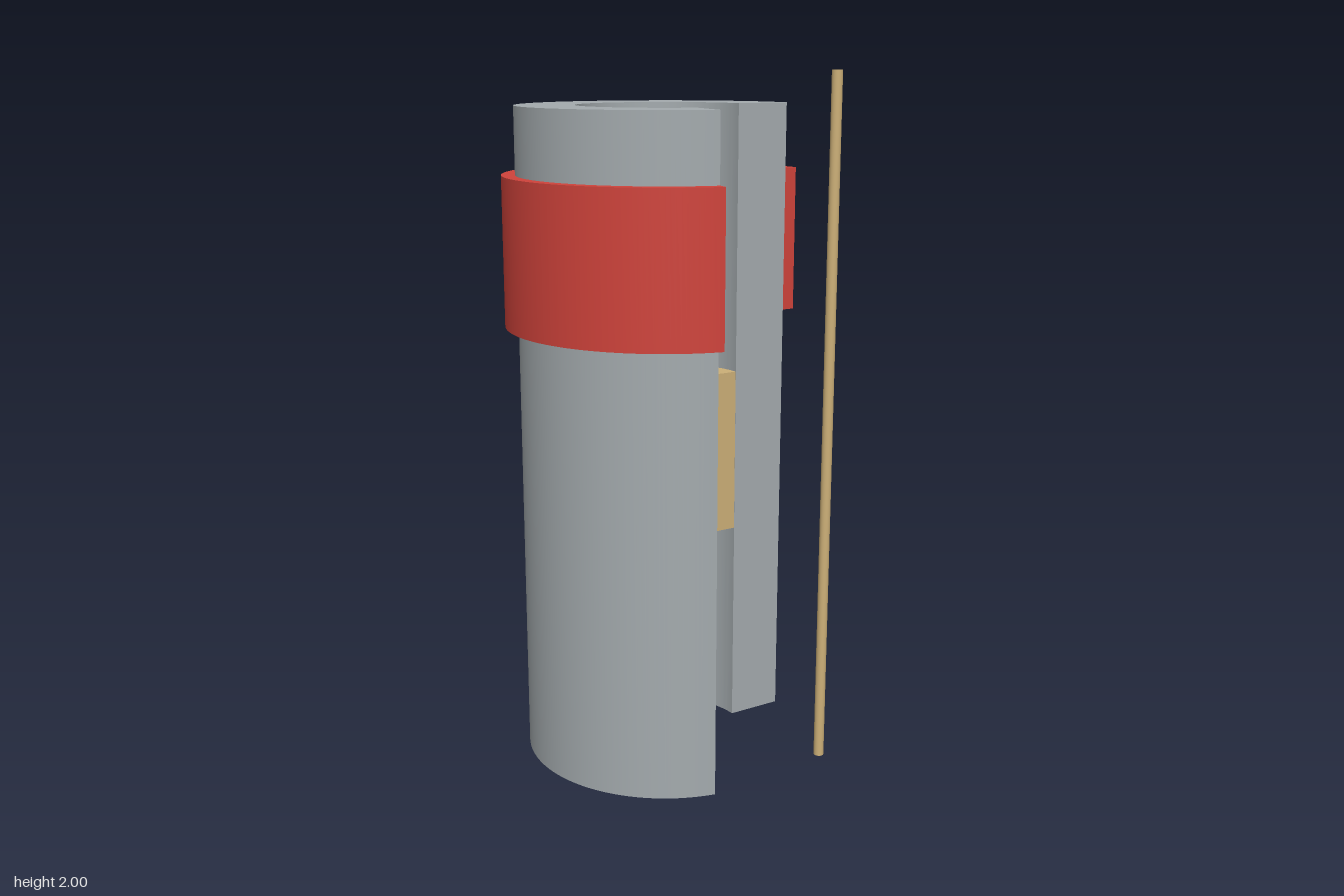
import * as THREE from 'three';
import { toCreasedNormals } from 'three/addons/utils/BufferGeometryUtils.js';

const CENTRE_X = -0.022;
const rad = THREE.MathUtils.degToRad;

// Upright ring sector; angles run counter-clockwise seen from above, from +x
function ringSector(name, inner, outer, bottom, top, startDeg, endDeg, color) {
  const a = rad(startDeg), b = rad(endDeg);
  const shape = new THREE.Shape();
  shape.absarc(0, 0, outer, a, b, false);
  shape.absarc(0, 0, inner, b, a, true);
  shape.closePath();
  const extruded = new THREE.ExtrudeGeometry(shape, {
    depth: top - bottom, bevelEnabled: false, curveSegments: 72,
  });
  extruded.rotateX(-Math.PI / 2);
  const mesh = new THREE.Mesh(
    toCreasedNormals(extruded, rad(30)),
    new THREE.MeshStandardMaterial({ color }),
  );
  mesh.name = name;
  mesh.position.set(CENTRE_X, bottom, 0);
  return mesh;
}

export function createModel() {
  const model = new THREE.Group();
  model.name = 'cutawayTube';

  const red = 0xd0433b, brass = 0xcdb078;
  const start = 26, end = 284; // edges of the cutaway opening
  const lip = 0.15; // keeps overlapping end faces from coinciding

  // Thick outer tube with a wedge cut away
  model.add(ringSector('tubeWall', 0.238, 0.4, 0.095, 1.91, start, end, 0xa4abae));

  // Band around the upper part, sunk into the wall
  model.add(ringSector('outerBand', 0.268, 0.437, 1.325, 1.73, start + lip, end + lip, red));

  // Sleeve lining the middle of the bore
  model.add(ringSector('innerSleeve', 0.165, 0.258, 0.69, 1.16, start + lip, end + lip, brass));

  // Thin upright rod beside the opening
  const rod = new THREE.Mesh(
    new THREE.CylinderGeometry(0.015, 0.015, 2, 24),
    new THREE.MeshStandardMaterial({ color: brass }),
  );
  rod.name = 'rod';
  rod.position.set(0.441, 1, 0);
  model.add(rod);

  return model;
}
